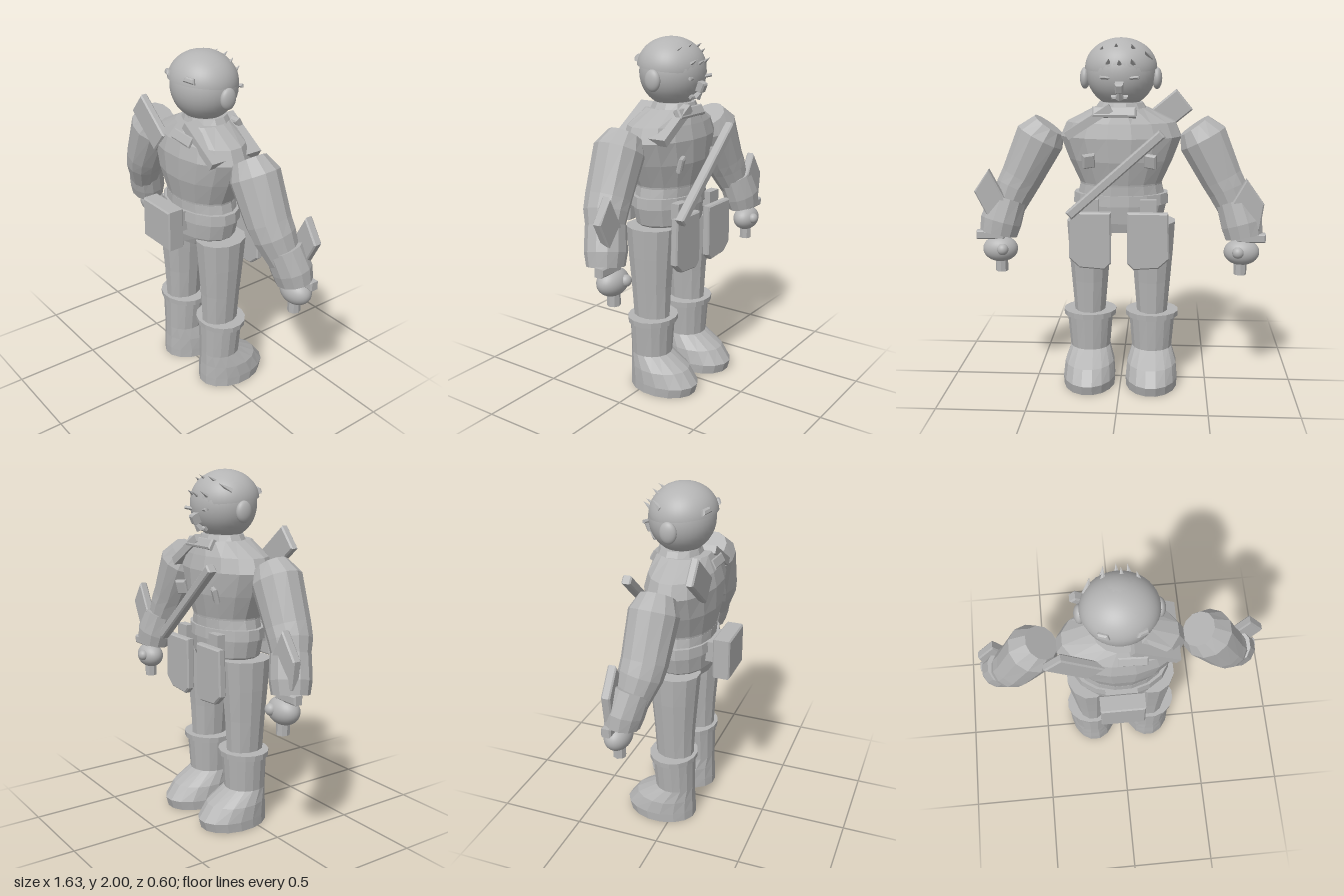
import * as THREE from 'three';

const plaster = new THREE.MeshStandardMaterial({ color: 0xb4b4b4, flatShading: true });
plaster.name = 'plaster grey';
const smooth = new THREE.MeshStandardMaterial({ color: 0xb4b4b4 });
smooth.name = 'plaster grey smooth';

// Closed faceted body through rings [x, y, z, rx, rz], listed bottom to top.
// With follow = true the rings turn square to the path.
function loft(rings, sides = 14, follow = false) {
  const centres = rings.map((r) => new THREE.Vector3(r[0], r[1], r[2]));
  const up = new THREE.Vector3(0, 1, 0);
  const pos = [], idx = [];
  rings.forEach((r, i) => {
    const q = new THREE.Quaternion();
    if (follow) {
      const a = centres[Math.max(i - 1, 0)], b = centres[Math.min(i + 1, rings.length - 1)];
      q.setFromUnitVectors(up, b.clone().sub(a).normalize());
    }
    for (let k = 0; k < sides; k++) {
      const t = ((k + 0.5) / sides) * Math.PI * 2;
      const p = new THREE.Vector3(Math.cos(t) * r[3], 0, Math.sin(t) * r[4]);
      pos.push(...p.applyQuaternion(q).add(centres[i]).toArray());
    }
  });
  for (let i = 0; i < rings.length - 1; i++) {
    for (let k = 0; k < sides; k++) {
      const a = i * sides + k, b = i * sides + ((k + 1) % sides);
      idx.push(a, a + sides, b, b, a + sides, b + sides);
    }
  }
  const low = pos.length / 3, top = (rings.length - 1) * sides;
  pos.push(...centres[0].toArray(), ...centres[centres.length - 1].toArray());
  for (let k = 0; k < sides; k++) {
    const n = (k + 1) % sides;
    idx.push(low, k, n, low + 1, top + n, top + k);
  }
  const g = new THREE.BufferGeometry();
  g.setAttribute('position', new THREE.Float32BufferAttribute(pos, 3));
  g.setIndex(idx);
  g.computeVertexNormals();
  return g;
}

// Flat plate from an outline in x, y, centred on depth z
function plate(points, z, depth) {
  const shape = new THREE.Shape(points.map((p) => new THREE.Vector2(p[0], p[1])));
  const g = new THREE.ExtrudeGeometry(shape, {
    depth: depth - 0.016, bevelEnabled: true, bevelSize: 0.008, bevelThickness: 0.008, bevelOffset: -0.008, bevelSegments: 1,
  });
  return g.translate(0, 0, z - depth / 2 + 0.008);
}

const rect = (w, h) => [[-w / 2, -h / 2], [w / 2, -h / 2], [w / 2, h / 2], [-w / 2, h / 2]];

export function createModel() {
  const model = new THREE.Group();
  model.name = 'adventurer';
  const add = (name, geo, at = [0, 0, 0], rot = [0, 0, 0], mat = plaster) => {
    const m = new THREE.Mesh(geo, mat);
    m.name = name;
    m.position.set(...at);
    m.rotation.set(...rot);
    model.add(m);
    return m;
  };
  const ball = (name, at, r, rot) => {
    const m = add(name, new THREE.SphereGeometry(1, 32, 20), at, rot, smooth);
    m.scale.set(...r);
    return m;
  };

  // Torso, belt and hips
  add('torso', loft([
    [0, 1.15, 0, 0.23, 0.165], [0, 1.2, 0, 0.235, 0.17], [0, 1.33, 0, 0.295, 0.2],
    [0, 1.46, 0, 0.345, 0.205], [0, 1.54, 0, 0.31, 0.185], [0, 1.62, -0.01, 0.15, 0.15],
  ], 16));
  add('belt', loft([[0, 1.08, 0, 0.275, 0.185], [0, 1.14, 0, 0.27, 0.18]], 16));
  add('waistband', loft([[0, 1.12, 0, 0.25, 0.17], [0, 1.19, 0, 0.235, 0.17]], 16));
  add('hips', loft([[0, 0.925, 0, 0.18, 0.15], [0, 0.98, 0, 0.24, 0.165], [0, 1.09, 0, 0.265, 0.175]], 16));

  // Neck and collar
  add('neck', new THREE.CylinderGeometry(0.1, 0.11, 0.12, 24), [0, 1.63, -0.02], [0, 0, 0], smooth);
  add('collar', loft([[0, 1.58, -0.03, 0.17, 0.14], [0, 1.65, -0.03, 0.125, 0.115]], 12));
  add('collarTab', plate(rect(0.16, 0.06), 0, 0.03), [0.05, 1.56, 0.16], [-0.5, 0, -0.05]);
  add('collarFront', plate(rect(0.24, 0.06), 0, 0.04), [0.03, 1.6, -0.15], [0.5, 0, 0]);

  // Sloping shoulder yoke, hilt plate and slung rod
  add('shoulderYoke', new THREE.BoxGeometry(0.29, 0.045, 0.33), [0.17, 1.55, -0.01], [0, 0, -0.57]);
  add('hiltPlate', plate(rect(0.28, 0.15), 0, 0.045), [-0.25, 1.56, 0.165], [0, 0, -0.69]);
  add('slungRod', plate(rect(0.68, 0.05), 0, 0.055), [0.02, 1.275, -0.255], [0, 0, -0.73]);

  // Pouch and hanging flaps
  add('pouch', plate(rect(0.25, 0.235), 0, 0.1), [-0.01, 1.06, 0.255]);
  add('pouchMount', new THREE.BoxGeometry(0.18, 0.12, 0.06), [-0.01, 1.08, 0.18]);

  for (const s of [1, -1]) {
    const side = s > 0 ? 'left' : 'right';

    const flap = [[0.045, 1.06], [0.27, 1.06], [0.28, 0.8], [0.22, 0.745], [0.08, 0.735], [0.045, 0.77]];
    add(side + 'Flap', plate(flap.map(([x, y]) => [x * s, y]), -0.215, 0.045));
    add(side + 'FlapLoop', new THREE.BoxGeometry(0.09, 0.09, 0.05), [s * 0.16, 1.08, -0.175]);
    add(side + 'ChestBadge', plate(rect(0.07, 0.08), 0, 0.03), [s * 0.17, 1.34, -0.19], [-0.25, s * 0.4, 0]);

    // Leg, boot and boot cuff
    const x = s * 0.182;
    add(side + 'Leg', loft([
      [x, 0.42, 0, 0.09, 0.11], [x, 0.62, 0, 0.107, 0.12], [x, 0.8, 0, 0.122, 0.135], [x, 0.97, 0, 0.132, 0.15],
    ], 12));
    add(side + 'Boot', loft([
      [x, 0, -0.08, 0.15, 0.205], [x, 0.055, -0.088, 0.152, 0.213], [x, 0.135, -0.06, 0.145, 0.18],
      [x, 0.21, 0, 0.118, 0.118], [x, 0.41, -0.005, 0.135, 0.125],
    ], 16));
    add(side + 'BootCuff', loft([[x, 0.403, -0.008, 0.153, 0.138], [x, 0.435, -0.008, 0.155, 0.14]], 16));

    // Arm, gauntlet and hand
    add(side + 'Arm', loft([
      [s * 0.66, 1.02, -0.05, 0.09, 0.09], [s * 0.605, 1.155, -0.02, 0.115, 0.12], [s * 0.57, 1.22, -0.01, 0.12, 0.125],
      [s * 0.46, 1.445, 0, 0.143, 0.135], [s * 0.41, 1.515, 0, 0.098, 0.095],
    ], 12, true));
    add(side + 'Gauntlet', loft([
      [s * 0.7, 0.9, -0.09, 0.108, 0.095], [s * 0.685, 0.97, -0.08, 0.118, 0.108], [s * 0.645, 1.095, -0.05, 0.108, 0.108],
    ], 12, true));
    ball(side + 'Hand', [s * 0.685, 0.82, -0.12], [0.1, 0.075, 0.073]);
    ball(side + 'Thumb', [s * 0.66, 0.83, -0.185], [0.032, 0.032, 0.03]);
    add(side + 'GripPeg', new THREE.CylinderGeometry(0.036, 0.036, 0.1, 8), [s * 0.68, 0.74, -0.12]);
    add(side + 'WristBar', plate(rect(0.16, 0.05), 0, 0.055), [s * 0.735, 0.905, -0.13]);
    const guard = s > 0
      ? [[0.735, 1.28], [0.82, 1.155], [0.71, 0.935], [0.62, 1.06]]
      : [[-0.7, 1.24], [-0.8, 1.1], [-0.78, 0.95], [-0.66, 0.95], [-0.62, 1.1]];
    add(side + 'ArmGuard', plate(guard, -0.13, 0.05));

    // Ear, eye and cap slot
    ball(side + 'Ear', [s * 0.2, 1.78, -0.025], [0.028, 0.06, 0.048]);
    add(side + 'Eye', plate(rect(0.07, 0.018), 0, 0.025), [s * 0.075, 1.79, -0.19], [0, s * 0.35, s * 0.1]);
    const slot = [[-0.035, -0.015], [0.035, -0.015], [0.025, 0.015], [-0.025, 0.015]];
    add(side + 'CapSlot', plate(slot, 0, 0.03), [s * 0.095, 1.885, 0.145], [-0.3, s * 0.4, 0]);
  }

  // Head and close cap
  ball('head', [0, 1.81, -0.02], [0.192, 0.19, 0.183]);
  const capGeo = new THREE.SphereGeometry(1, 40, 16, 0, Math.PI * 2, 0, Math.PI / 2);
  const disc = new THREE.CircleGeometry(1, 40).rotateX(Math.PI / 2);
  for (const [name, g] of [['cap', capGeo], ['capUnderside', disc]]) {
    const m = add(name, g, [0, 1.835, -0.012], [-0.1, 0, 0], smooth);
    m.scale.set(0.2, 0.165, 0.187);
  }

  // Face details
  add('nose', plate(rect(0.045, 0.055), 0, 0.05), [0, 1.74, -0.205], [-0.4, 0, 0]);
  add('mouth', plate(rect(0.09, 0.022), 0, 0.03), [0, 1.685, -0.165], [-0.7, 0, 0]);
  add('beardTuft', new THREE.ConeGeometry(0.025, 0.06, 6), [0, 1.705, -0.2], [-0.8, 0, 0]);

  // Hair spikes: upper row over the crown, lower row as a fringe
  const spikes = [
    [-0.145, 1.91, -0.11], [-0.07, 1.945, -0.13], [0.02, 1.95, -0.13], [0.1, 1.935, -0.11],
    [-0.07, 1.87, -0.185], [0, 1.865, -0.195], [0.06, 1.87, -0.185],
  ];
  for (const p of spikes) {
    const m = add('hairSpike', new THREE.ConeGeometry(0.026, 0.08, 6), p, [-1.0, 0, p[0] * 2]);
    m.scale.z = 0.7;
  }
  return model;
}
